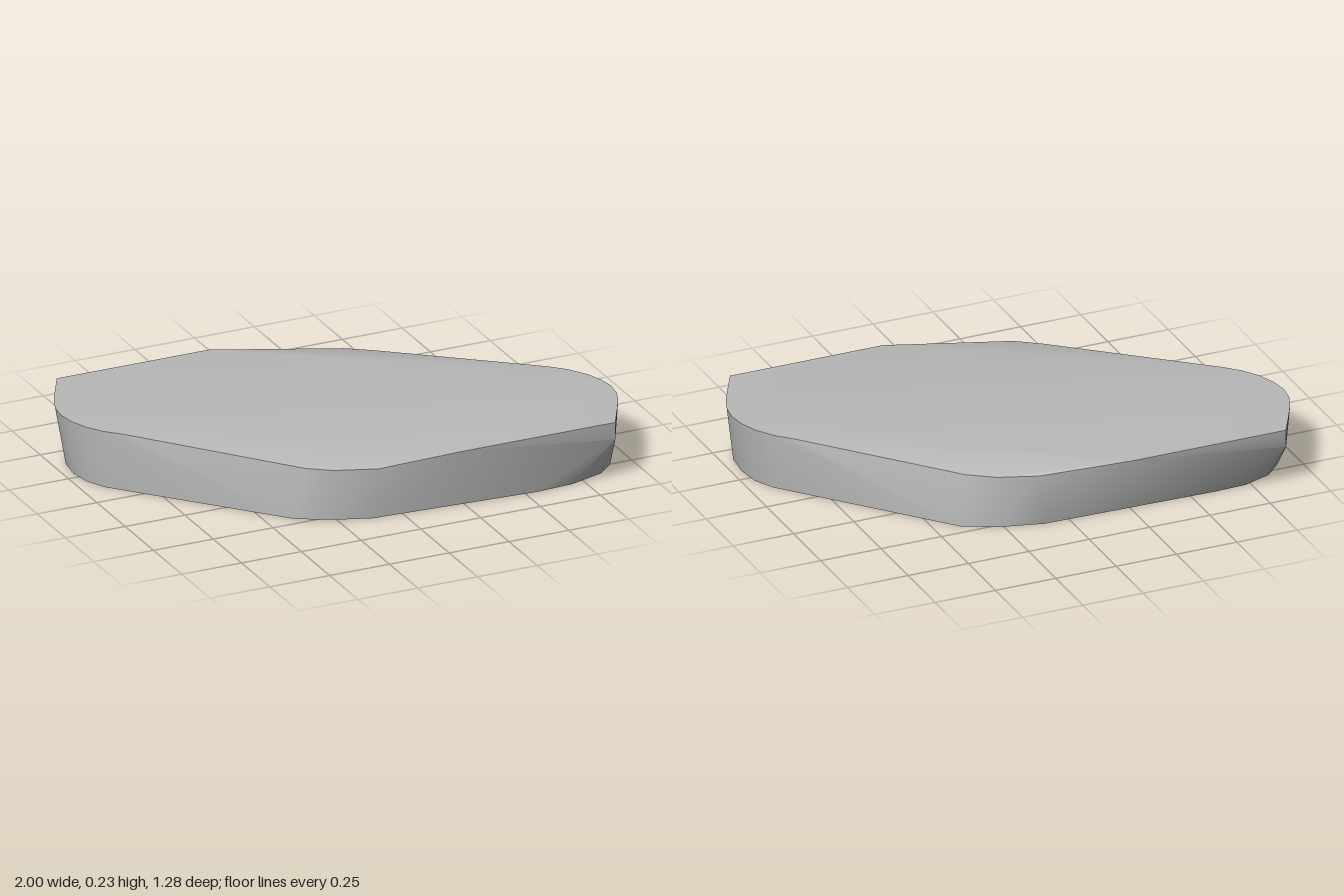
import * as THREE from 'three';
import { ConvexGeometry } from 'three/addons/geometries/ConvexGeometry.js';
import { toCreasedNormals } from 'three/addons/utils/BufferGeometryUtils.js';

// Flat faceted slab: the hull of a few horizontal outlines, smoothed on its round ends.
const TOP = 0.235;
const at = (y, outline) => outline.map(([x, z]) => new THREE.Vector3(x, y, z));

// rounded end of the top, repeated at the opposite end by a half turn
const topEnd = [
  [0.86, 0.05], [0.92, 0.11], [0.965, 0.18], [0.99, 0.25], [1, 0.32],
  [0.99, 0.39], [0.965, 0.455], [0.92, 0.54], [0.865, 0.64], [0.23, 0.64],
];
const halfTurn = (outline) => outline.map(([x, z]) => [-x, -z]);

// lowered shoulders beside the two long slopes
const frontShoulder = [[-0.35, 0.465], [-0.26, 0.53], [-0.1, 0.588]];
const backShoulder = [[0.37, -0.43], [0.27, -0.5], [0.12, -0.555]];

// underside, slightly smaller than the top
const bottomFront = [
  [-0.39, 0.46], [-0.26, 0.53], [-0.12, 0.58], [0.55, 0.62], [0.7, 0.61], [0.84, 0.565],
  [0.91, 0.5], [0.95, 0.42], [0.962, 0.32], [0.95, 0.22], [0.91, 0.14], [0.84, 0.06],
];
const bottomBack = [
  [0.4, -0.45], [0.27, -0.515], [0.1, -0.56], [-0.6, -0.575], [-0.73, -0.57], [-0.84, -0.53],
  [-0.91, -0.46], [-0.95, -0.38], [-0.962, -0.29], [-0.95, -0.2], [-0.91, -0.12], [-0.83, -0.03],
];

export function createModel() {
  const group = new THREE.Group();
  group.name = 'slab';
  const stone = new THREE.MeshStandardMaterial({ color: 0xb8b8b8 });
  stone.name = 'stone grey';

  const hull = new ConvexGeometry([
    ...at(TOP, topEnd),
    ...at(TOP, halfTurn(topEnd)),
    ...at(0.203, frontShoulder),
    ...at(0.203, backShoulder),
    // upright corner edges at both ends
    ...at(0.165, [[0.865, 0.64], [-0.865, -0.64]]),
    ...at(0, bottomFront),
    ...at(0, bottomBack),
  ]);
  const body = new THREE.Mesh(toCreasedNormals(hull, 0.5), stone);
  body.name = 'stoneBody';
  group.add(body);
  return group;
}
